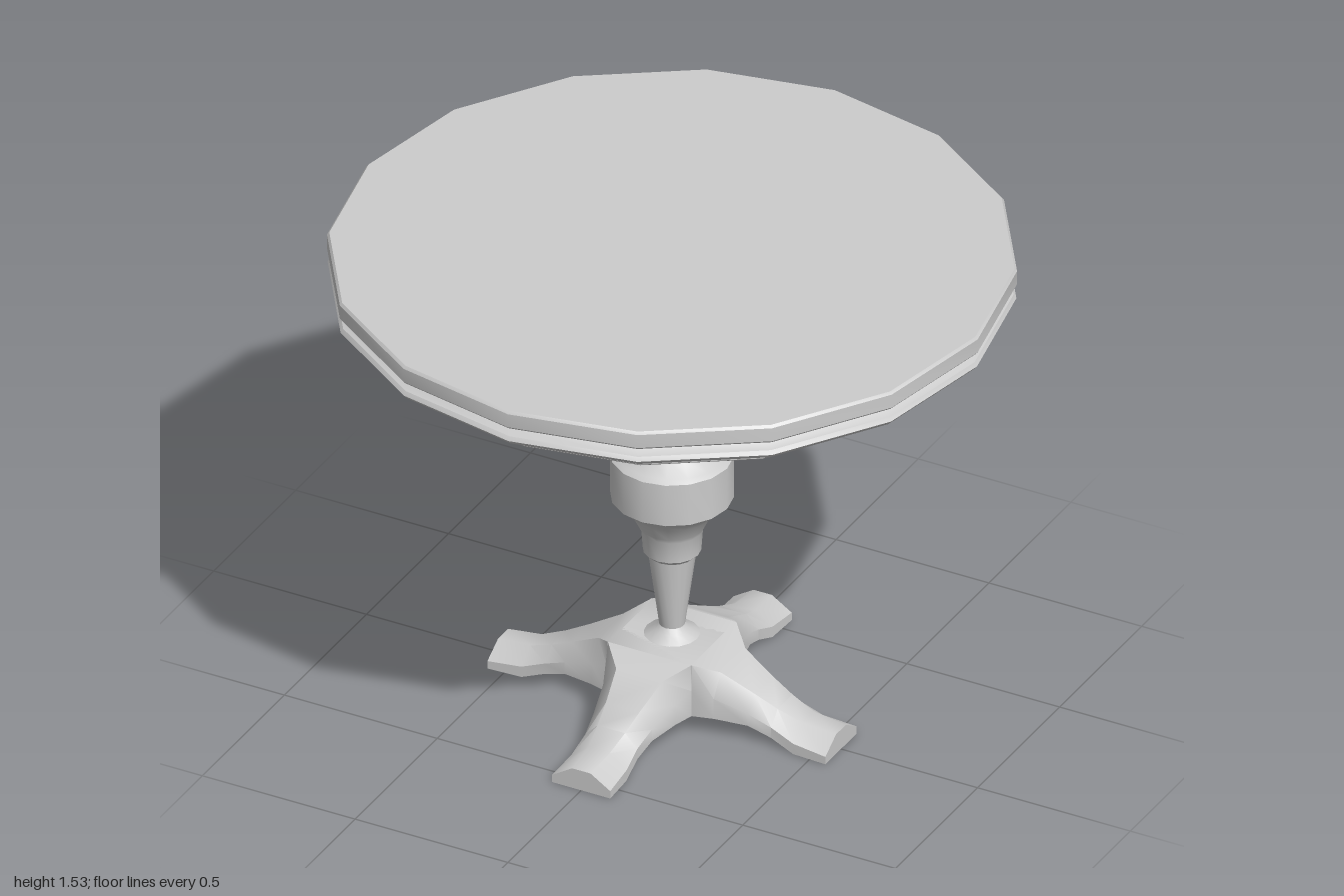
import * as THREE from 'three';
import { toCreasedNormals } from 'three/addons/utils/BufferGeometryUtils.js';

const material = new THREE.MeshStandardMaterial({ color: 0xcccccc });

function addMesh(parent, name, geometry, crease = 0.6) {
  const mesh = new THREE.Mesh(toCreasedNormals(geometry, crease), material);
  mesh.name = name;
  parent.add(mesh);
  return mesh;
}

// Sixteen-sided turned part; profile runs from bottom to top as [radius, y]
function turned(profile) {
  return new THREE.LatheGeometry(profile.map(([r, y]) => new THREE.Vector2(r, y)), 16);
}

// Leg along +x, lofted through six-sided sections
function legGeometry() {
  // [x, half width, half width of top, bottom y, shoulder y, top y]
  const stations = [
    [0, 0.138, 0.135, 0.065, 0.15, 0.235],
    [0.138, 0.138, 0.135, 0.065, 0.15, 0.235],
    [0.2, 0.118, 0.075, 0.063, 0.13, 0.197],
    [0.3, 0.095, 0.055, 0.056, 0.095, 0.143],
    [0.37, 0.085, 0.045, 0.03, 0.065, 0.107],
    [0.445, 0.09, 0.035, 0, 0.035, 0.077],
    [0.553, 0.095, 0.03, 0, 0.025, 0.066],
  ];
  const positions = [];
  const index = [];
  for (const [x, w, t, low, mid, top] of stations) {
    for (const [u, y] of [[w, low], [w, mid], [t, top], [-t, top], [-w, mid], [-w, low]]) {
      positions.push(x, y, -u);
    }
  }
  for (let s = 0; s < stations.length - 1; s++) {
    for (let i = 0; i < 6; i++) {
      const a = s * 6 + i;
      const b = s * 6 + (i + 1) % 6;
      index.push(a, b, b + 6, a, b + 6, a + 6);
    }
  }
  // Toe face
  const end = (stations.length - 1) * 6;
  for (let i = 1; i < 5; i++) index.push(end, end + i, end + i + 1);
  const geometry = new THREE.BufferGeometry();
  geometry.setAttribute('position', new THREE.Float32BufferAttribute(positions, 3));
  geometry.setIndex(index);
  return geometry;
}

export function createModel() {
  const model = new THREE.Group();
  model.name = 'pedestalTable';

  // Table top with moulded apron
  addMesh(model, 'tableTop', turned([
    [0, 1.345], [0.32, 1.345], [0.9, 1.358], [0.908, 1.365], [0.908, 1.39],
    [0.94, 1.4], [0.985, 1.415], [0.998, 1.43], [0.99, 1.442], [0.965, 1.45],
    [0.96, 1.455], [0.96, 1.472], [0.995, 1.472], [1, 1.478], [1, 1.522],
    [0.993, 1.53], [0, 1.53],
  ]));

  // Flared collar under the top
  addMesh(model, 'collar', turned([
    [0.06, 1.165], [0.09, 1.165], [0.1, 1.175], [0.115, 1.225], [0.13, 1.253],
    [0.155, 1.272], [0.16, 1.288], [0.2, 1.303], [0.32, 1.347],
  ]));

  // Turned column with drum
  addMesh(model, 'column', turned([
    [0.085, 0.232], [0.08, 0.237], [0.05, 0.252], [0.038, 0.268], [0.07, 0.505],
    [0.085, 0.52], [0.09, 0.59], [0.098, 0.605], [0.12, 0.65], [0.15, 0.68],
    [0.18, 0.705], [0.18, 0.842], [0.165, 0.853], [0.115, 0.883], [0.095, 0.91],
    [0.085, 0.945], [0.066, 0.957], [0.066, 1.17],
  ]));

  // Four splayed legs meeting in a square hub
  for (let i = 0; i < 4; i++) {
    addMesh(model, 'leg' + (i + 1), legGeometry(), 0.75).rotation.y = i * Math.PI / 2;
  }
  return model;
}
